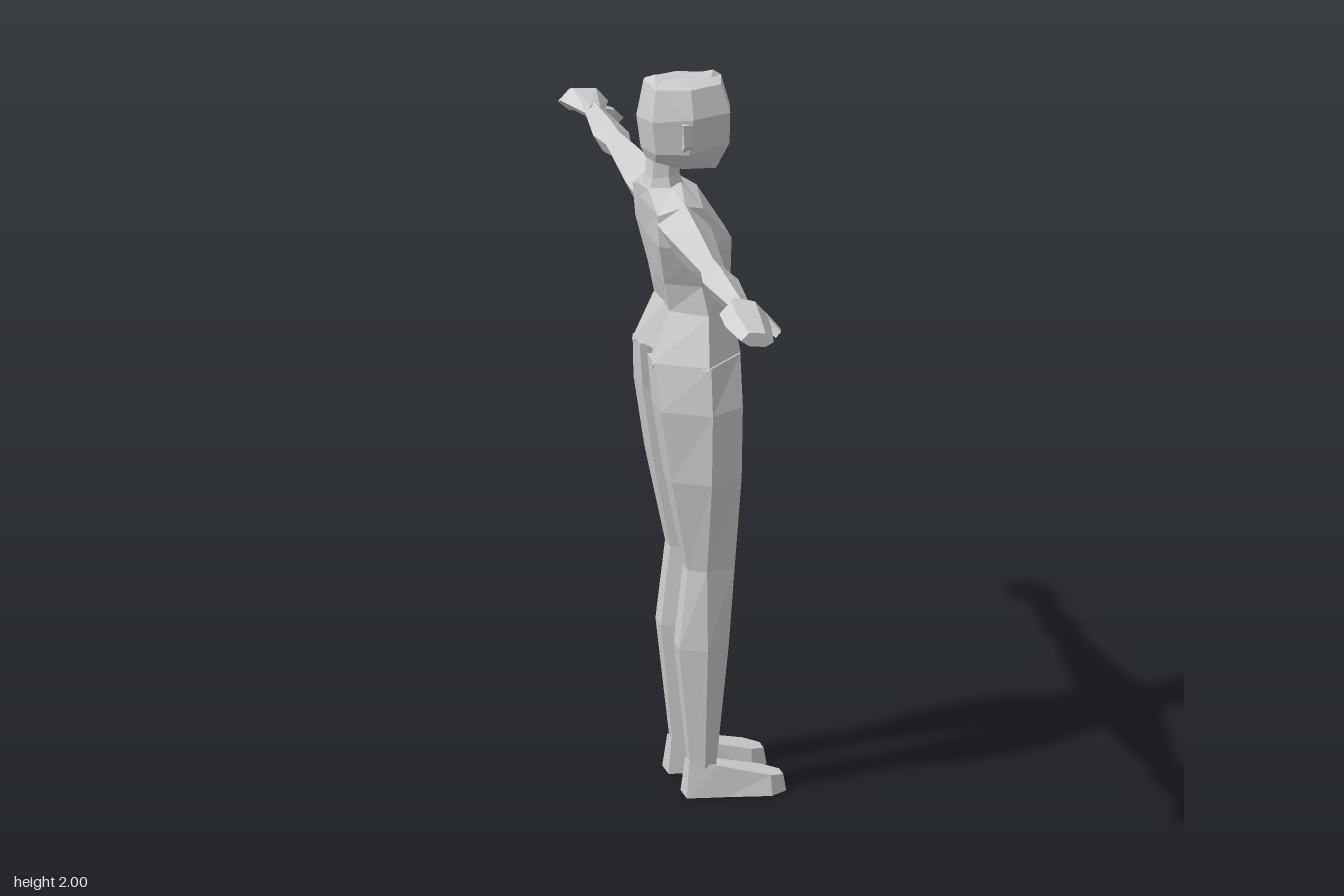
import * as THREE from 'three';

const skin = new THREE.MeshStandardMaterial({ color: 0xcccccc, flatShading: true });
skin.name = 'light grey';

// Closed faceted skin through rings of equal point count; ends are fanned to their centres.
function loft(name, rings) {
  const tris = [];
  const n = rings[0].length;
  for (let r = 0; r + 1 < rings.length; r++) {
    for (let i = 0; i < n; i++) {
      const j = (i + 1) % n, a = rings[r], b = rings[r + 1];
      tris.push([a[i], a[j], b[j]], [a[i], b[j], b[i]]);
    }
  }
  const centre = (ring) => [0, 1, 2].map((k) => ring.reduce((s, p) => s + p[k], 0) / n);
  const first = rings[0], last = rings[rings.length - 1];
  const c0 = centre(first), c1 = centre(last);
  for (let i = 0; i < n; i++) {
    const j = (i + 1) % n;
    tris.push([first[j], first[i], c0], [last[i], last[j], c1]);
  }
  // Turn the faces outward whichever way the rings run
  const v = (p) => new THREE.Vector3(...p);
  const volume = tris.reduce((s, [a, b, c]) => s + v(a).dot(v(b).cross(v(c))), 0);
  if (volume < 0) tris.forEach((t) => t.reverse());
  const geo = new THREE.BufferGeometry();
  geo.setAttribute('position', new THREE.Float32BufferAttribute(tris.flat(2), 3));
  geo.computeVertexNormals();
  const mesh = new THREE.Mesh(geo, skin);
  mesh.name = name;
  return mesh;
}

// Symmetric ring from five points: front centre, front edge, side, back edge, back centre
const symRing = (h) => [...h, ...[h[3], h[2], h[1]].map(([x, y, z]) => [x, y, -z])];

// Torso: x forward, y up, z to the side
const torso = [
  [[-0.07, 1.705, 0], [-0.08, 1.705, 0.055], [-0.11, 1.7, 0.07], [-0.17, 1.695, 0.05], [-0.18, 1.695, 0]],
  [[-0.025, 1.68, 0], [-0.04, 1.66, 0.135], [-0.1, 1.685, 0.18], [-0.165, 1.65, 0.14], [-0.178, 1.66, 0]],
  [[0.05, 1.56, 0], [0.045, 1.56, 0.105], [-0.07, 1.555, 0.18], [-0.16, 1.56, 0.13], [-0.165, 1.56, 0]],
  [[0.055, 1.44, 0], [0.05, 1.44, 0.072], [-0.045, 1.44, 0.14], [-0.135, 1.44, 0.09], [-0.14, 1.44, 0]],
  [[0.06, 1.36, 0], [0.055, 1.36, 0.065], [-0.03, 1.36, 0.155], [-0.12, 1.36, 0.085], [-0.115, 1.36, 0]],
  [[0.08, 1.23, 0], [0.073, 1.23, 0.09], [-0.04, 1.22, 0.205], [-0.175, 1.22, 0.11], [-0.145, 1.23, 0]],
  [[0.05, 1.11, 0], [0.052, 1.11, 0.03], [-0.04, 1.11, 0.035], [-0.1, 1.12, 0.03], [-0.09, 1.13, 0]],
].map(symRing);

const neck = [
  [[-0.06, 1.68, 0], [-0.065, 1.68, 0.04], [-0.11, 1.68, 0.07], [-0.165, 1.68, 0.045], [-0.175, 1.68, 0]],
  [[-0.075, 1.73, 0], [-0.08, 1.73, 0.035], [-0.115, 1.73, 0.055], [-0.155, 1.72, 0.04], [-0.165, 1.72, 0]],
  [[-0.07, 1.81, 0], [-0.075, 1.81, 0.035], [-0.11, 1.81, 0.055], [-0.15, 1.81, 0.04], [-0.155, 1.81, 0]],
].map(symRing);

const head = [
  [[0.03, 1.735, 0], [0.02, 1.735, 0.035], [-0.08, 1.75, 0.065], [-0.15, 1.77, 0.05], [-0.165, 1.77, 0]],
  [[0.066, 1.81, 0], [0.05, 1.81, 0.06], [-0.07, 1.8, 0.1], [-0.155, 1.8, 0.075], [-0.178, 1.8, 0]],
  [[0.066, 1.9, 0], [0.05, 1.9, 0.07], [-0.06, 1.9, 0.108], [-0.165, 1.89, 0.075], [-0.19, 1.89, 0]],
  [[0.042, 1.985, 0], [0.03, 1.975, 0.05], [-0.06, 1.975, 0.08], [-0.15, 1.975, 0.055], [-0.17, 1.99, 0]],
  [[0.02, 1.99, 0], [0.01, 1.985, 0.02], [-0.06, 1.99, 0.025], [-0.12, 1.99, 0.02], [-0.14, 1.998, 0]],
].map(symRing);
head[4].forEach((p) => { if (p[2] === 0) p[1] = 2; });

// Leg rows: y, front x, back x, inner z, outer z, front edges z, back edges z
const legRows = [
  [1.23, 0.07, -0.17, 0.02, 0.204, 0.075, 0.1, 0.04, 0.12],
  [1.1, 0.062, -0.16, 0.02, 0.22, 0.03, 0.16, 0.05, 0.15],
  [0.9, 0.06, -0.13, 0.022, 0.21, 0.035, 0.155, 0.06, 0.15],
  [0.64, 0.045, -0.08, 0.048, 0.157, 0.065, 0.138, 0.07, 0.125],
  [0.42, 0.028, -0.105, 0.04, 0.165, 0.07, 0.14, 0.07, 0.13],
  [0.08, 0.0, -0.07, 0.064, 0.135, 0.08, 0.115, 0.08, 0.115],
];
const leg = legRows.map(([y, xf, xb, zi, zo, fi, fo, bi, bo]) => [
  [xf, y, fi], [xf, y, fo], [-0.035, y, zo], [xb, y, bo], [xb, y, bi], [-0.035, y, zi]]);

// Foot: flat sole outline and a wedge-shaped top
const foot = [
  [[-0.085, 0, 0.065], [-0.085, 0, 0.135], [0.02, 0, 0.15], [0.14, 0, 0.17],
    [0.187, 0, 0.135], [0.187, 0, 0.08], [0.14, 0, 0.048], [0.02, 0, 0.055]],
  [[-0.075, 0.095, 0.075], [-0.075, 0.095, 0.12], [0.0, 0.085, 0.135], [0.14, 0.053, 0.155],
    [0.18, 0.045, 0.13], [0.18, 0.045, 0.085], [0.14, 0.053, 0.06], [0.0, 0.085, 0.066]],
];

// Arm rows: z, back x, front x, top y, middle y, bottom y
const armRows = [
  [0.12, -0.165, -0.035, 1.69, 1.625, 1.56],
  [0.2, -0.168, -0.035, 1.69, 1.628, 1.553],
  [0.36, -0.155, -0.055, 1.675, 1.625, 1.565],
  [0.52, -0.143, -0.075, 1.657, 1.623, 1.588],
  [0.6, -0.158, -0.06, 1.66, 1.622, 1.575],
  [0.8, -0.132, -0.078, 1.643, 1.62, 1.592],
];
const arm = armRows.map(([z, xb, xf, top, mid, bot]) => {
  const c = (xb + xf) / 2, w = (xf - xb) * 0.22;
  return [[c, top, z], [xf, mid, z], [c + w, bot, z], [c - w, bot, z], [xb, mid, z]];
});

// Mitten hand, tapering and dropping towards the fingertips
const hand = [
  [0.785, -0.13, -0.08, 1.64, 1.595],
  [0.87, -0.18, -0.05, 1.662, 1.595],
  [0.92, -0.175, -0.05, 1.642, 1.575],
  [0.988, -0.15, -0.06, 1.612, 1.568],
].map(([z, xb, xf, top, bot]) => {
  const w = (xf - xb) * 0.25, c = (xb + xf) / 2, m = (top + bot) / 2;
  return [[c + w, top - 0.006, z], [xf, m - 0.01, z], [c + w, bot, z],
    [c - w, bot + 0.006, z], [xb, m, z], [c - w, top, z]];
});

const thumb = [
  [[-0.09, 1.625, 0.8], [-0.07, 1.595, 0.8], [-0.085, 1.595, 0.845], [-0.095, 1.625, 0.845]],
  [[-0.04, 1.605, 0.825], [-0.05, 1.58, 0.825], [-0.055, 1.575, 0.87], [-0.04, 1.6, 0.865]],
  [[-0.01, 1.57, 0.86], [-0.025, 1.553, 0.86], [-0.03, 1.555, 0.89], [-0.015, 1.57, 0.888]],
];

const ear = [
  [[-0.09, 1.8, 0.09], [-0.055, 1.81, 0.09], [-0.055, 1.885, 0.09], [-0.09, 1.89, 0.09]],
  [[-0.085, 1.825, 0.108], [-0.06, 1.825, 0.108], [-0.065, 1.89, 0.117], [-0.09, 1.89, 0.117]],
];

export function createModel() {
  const model = new THREE.Group();
  model.name = 'figure';
  model.add(loft('torso', torso), loft('neck', neck), loft('head', head));
  // Paired parts, mirrored across z
  const pairs = { Leg: leg, Foot: foot, Arm: arm, Hand: hand, Thumb: thumb, Ear: ear };
  for (const [side, s] of [['right', 1], ['left', -1]]) {
    for (const [part, rings] of Object.entries(pairs)) {
      model.add(loft(side + part, rings.map((r) => r.map(([x, y, z]) => [x, y, s * z]))));
    }
  }
  return model;
}
